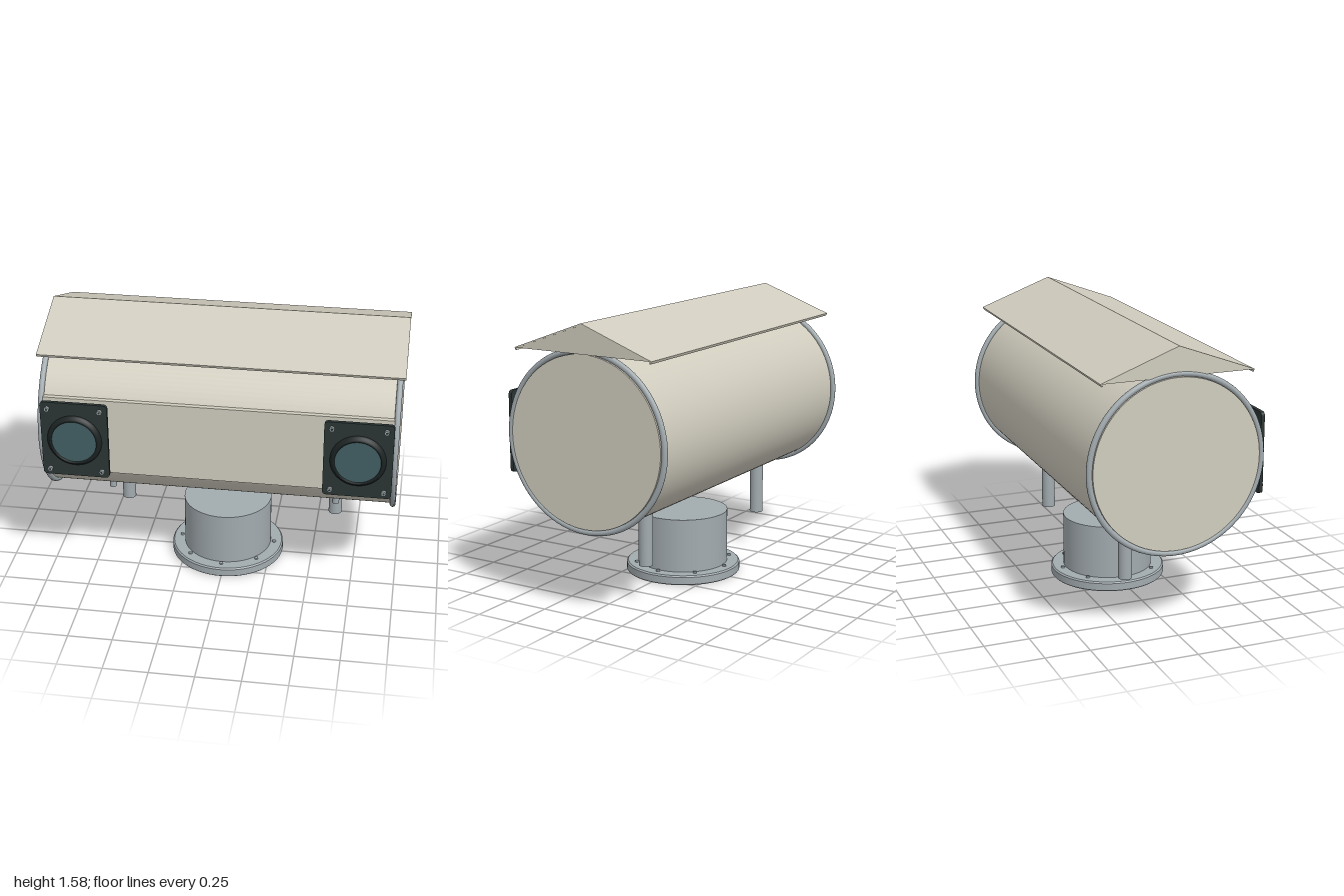
import * as THREE from 'three';

const mat = (name, color, side = THREE.FrontSide) => {
  const m = new THREE.MeshStandardMaterial({ color, side });
  m.name = name;
  return m;
};

export function createModel() {
  const beige = mat('beige paint', 0xd0ccbe, THREE.DoubleSide);
  const steel = mat('steel', 0xa2abaf, THREE.DoubleSide);
  const dark = mat('dark housing', 0x2b3434);
  const black = mat('black bezel', 0x1c2323);
  const glass = mat('teal glass', 0x426063);

  const model = new THREE.Group();
  const CX = -0.006, CY = 0.948, CZ = -0.014; // drum centre
  const R = 0.475, FLAT = 0.225;              // drum radius, half height of the flat front

  const add = (name, geo, material, x = 0, y = 0, z = 0, parent = model) => {
    const m = new THREE.Mesh(geo, material);
    m.name = name;
    m.position.set(x, y, z);
    parent.add(m);
    return m;
  };
  const cyl = (r, h, seg = 48) => new THREE.CylinderGeometry(r, r, h, seg);
  const cylX = (r, h, seg) => cyl(r, h, seg).rotateZ(Math.PI / 2);
  const cylZ = (r, h, seg) => cyl(r, h, seg).rotateX(Math.PI / 2);

  // Drum shell with the front segment left open for the flat panel
  const gap = Math.asin(FLAT / R);
  add('drumShell', new THREE.CylinderGeometry(R, R, 1.92, 96, 1, true, gap, Math.PI * 2 - 2 * gap)
    .rotateZ(Math.PI / 2), beige, CX, CY, CZ);
  add('frontPanel', new THREE.BoxGeometry(1.92, FLAT * 2, 0.035), beige, CX, CY, 0.415);

  // End caps and clamp rings
  for (const s of [-1, 1]) {
    add('endCap', cylX(0.466, 0.04, 96), beige, CX + s * 0.967, CY, CZ);
    add('clampRing', new THREE.TorusGeometry(0.482, 0.016, 12, 96).rotateY(Math.PI / 2),
      steel, CX + s * 0.972, CY, CZ);
  }

  // Hollow gable roof: folded sheet with small inward lips at the eaves
  const roof = new THREE.Group();
  roof.name = 'roof';
  roof.position.set(0.003, 0, CZ);
  model.add(roof);
  const alongX = (points, length) => {
    const shape = new THREE.Shape(points.map(([a, b]) => new THREE.Vector2(a, b)));
    return new THREE.ExtrudeGeometry(shape, { depth: length, bevelEnabled: false })
      .translate(0, 0, -length / 2).rotateY(Math.PI / 2);
  };
  const half = [[0.425, 1.418], [0.418, 1.403], [0.412, 1.405], [0.416, 1.414]];
  add('roofSheet', alongX([
    [0, 1.576], ...half, [0, 1.566],
    ...half.slice().reverse().map(([a, b]) => [-a, b]),
  ], 1.99), beige, 0, 0, 0, roof);
  for (const s of [-1, 1]) {
    add('gableEnd', alongX([[0, 1.573], [-0.412, 1.416], [0.412, 1.416]], 0.008),
      beige, s * 0.988, 0, 0, roof);
    for (const e of [-1, 1]) {
      const bolt = add('roofBolt', cyl(0.014, 0.012, 12), steel, s * 0.9, 1.437, e * 0.335, roof);
      bolt.rotation.x = e * 0.363;
    }
  }

  // Lens units: rounded mounting plate, stepped barrel, glass and corner screws
  const w = 0.187, h = 0.225, c = 0.025;
  const plate = new THREE.Shape();
  plate.moveTo(-w + c, -h);
  plate.lineTo(w - c, -h);
  plate.quadraticCurveTo(w, -h, w, -h + c);
  plate.lineTo(w, h - c);
  plate.quadraticCurveTo(w, h, w - c, h);
  plate.lineTo(-w + c, h);
  plate.quadraticCurveTo(-w, h, -w, h - c);
  plate.lineTo(-w, -h + c);
  plate.quadraticCurveTo(-w, -h, -w + c, -h);
  const bezel = [[0.134, 0.49], [0.152, 0.49], [0.152, 0.497], [0.145, 0.502], [0.138, 0.514],
    [0.125, 0.514], [0.125, 0.49]].map(([r, y]) => new THREE.Vector2(r, y));
  for (const s of [-1, 1]) {
    const lens = new THREE.Group();
    lens.name = s > 0 ? 'leftLens' : 'rightLens';
    lens.position.set(CX + s * 0.777, CY, 0);
    model.add(lens);
    add('lensBarrel', cylZ(0.15, 0.06), dark, 0, 0, 0.45, lens);
    add('lensPlate', new THREE.ExtrudeGeometry(plate, { depth: 0.02, bevelEnabled: false }),
      dark, 0, 0, 0.47, lens);
    add('lensBezel', new THREE.LatheGeometry(bezel.slice(1), 64).rotateX(Math.PI / 2), black, 0, 0, 0, lens);
    add('lensGlass', cylZ(0.132, 0.015, 64), glass, 0, 0, 0.5, lens);
    for (const a of [-1, 1]) for (const b of [-1, 1]) {
      add('screwHead', cylZ(0.014, 0.018, 12), steel, a * 0.146, b * 0.187, 0.497, lens);
      add('screwSocket', cylZ(0.007, 0.004, 6), dark, a * 0.146, b * 0.187, 0.505, lens);
    }
  }

  // Rear support posts and small drain pegs under the drum
  for (const s of [-1, 1]) {
    add('supportPost', cyl(0.039, 0.33, 32), steel, CX + s * 0.628, 0.38, -0.158);
    add('drainPeg', cyl(0.02, 0.06, 20), steel, CX + s * 0.648, 0.508, 0.17);
  }

  // Pedestal with flange, underside bore and bolt circle
  add('pedestalColumn', cyl(0.257, 0.313, 64), steel, CX, 0.2065, CZ);
  const flange = [[0.1, 0.045], [0.1, 0], [0.325, 0], [0.33, 0.005], [0.33, 0.047],
    [0.322, 0.055], [0.2, 0.055]];
  flange.slice(0, -1).forEach((p, i) => {
    const pts = [p, flange[i + 1]].map(([r, y]) => new THREE.Vector2(r, y));
    add('flange', new THREE.LatheGeometry(pts, 64), steel, CX, 0, CZ);
  });
  for (let i = 0; i < 8; i++) {
    const a = i * Math.PI / 4;
    add('flangeBolt', cyl(0.011, 0.01, 12), steel,
      CX + 0.278 * Math.cos(a), 0.059, CZ + 0.278 * Math.sin(a));
  }
  return model;
}
